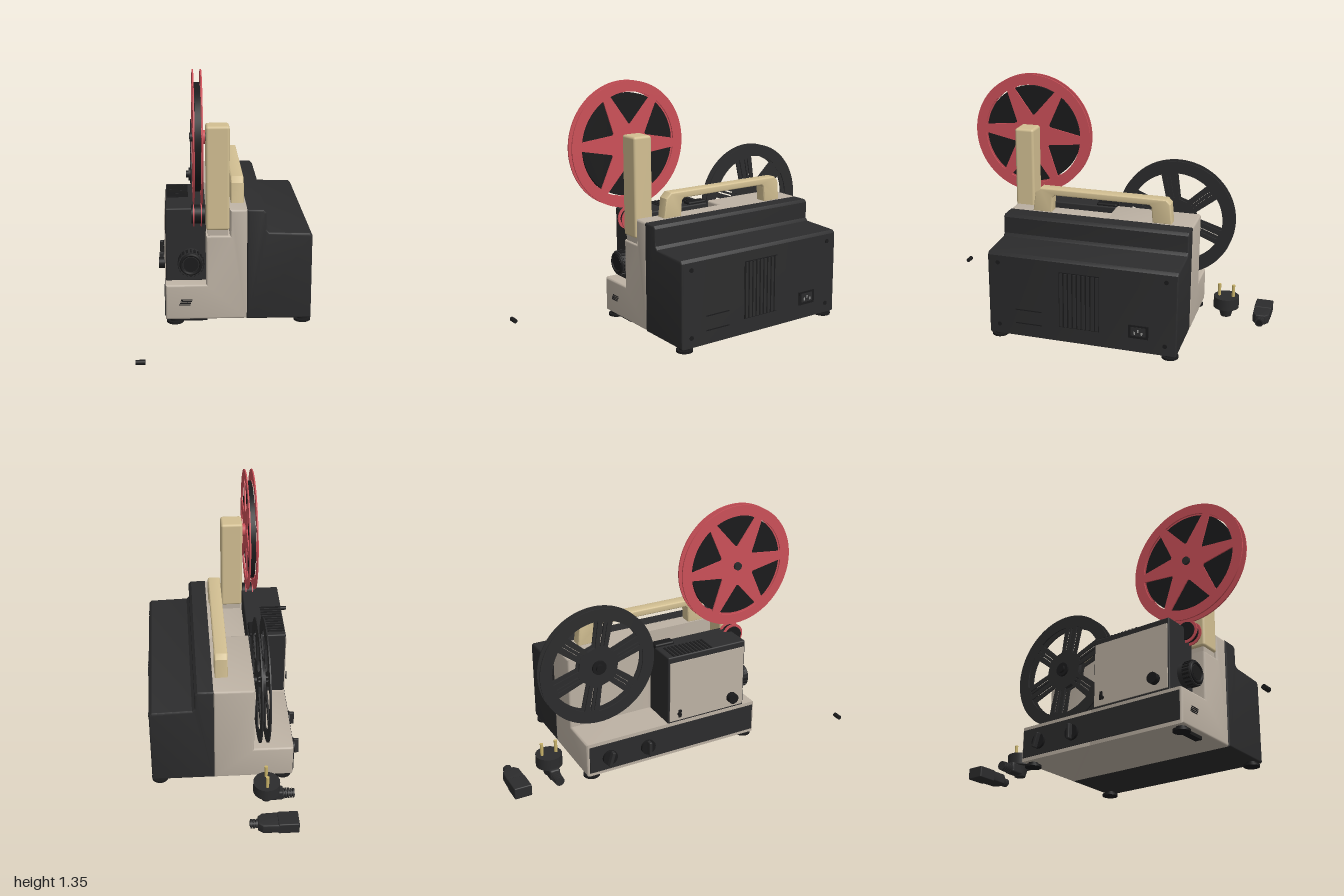
import * as THREE from 'three';
import { toCreasedNormals } from 'three/addons/utils/BufferGeometryUtils.js';
import { RoundedBoxGeometry } from 'three/addons/geometries/RoundedBoxGeometry.js';

const mat = (name, color) => {
  const m = new THREE.MeshStandardMaterial({ color });
  m.name = name;
  return m;
};

export function createModel() {
  const root = new THREE.Group();
  root.name = 'filmProjector';
  const beige = mat('beigeBody', 0xbdb2a4), dark = mat('charcoal', 0x2c2c2d), black = mat('black', 0x1b1b1c);
  const tan = mat('tan', 0xd2bf92), red = mat('red', 0xcb5058), metal = mat('metal', 0x9a9a98), brass = mat('brass', 0xc9b36a);

  const add = (name, geo, material, x = 0, y = 0, z = 0, parent = root) => {
    const m = new THREE.Mesh(geo, material);
    m.name = name;
    m.position.set(x, y, z);
    parent.add(m);
    return m;
  };
  // Box from its extents, with optional rounding
  const box = (name, material, x0, x1, y0, y1, z0, z1, r = 0) => {
    const s = [x1 - x0, y1 - y0, z1 - z0];
    const geo = r ? new RoundedBoxGeometry(...s, 3, r) : new THREE.BoxGeometry(...s);
    return add(name, geo, material, (x0 + x1) / 2, (y0 + y1) / 2, (z0 + z1) / 2);
  };
  // Cylinder along a chosen axis
  const cyl = (name, material, axis, r, len, x, y, z, r2 = r, seg = 32) => {
    const g = new THREE.CylinderGeometry(r, r2, len, seg);
    if (axis === 'x') g.rotateZ(-Math.PI / 2);
    if (axis === 'z') g.rotateX(Math.PI / 2);
    return add(name, g, material, x, y, z);
  };
  const poly = (pts) => new THREE.Shape(pts.map((p) => new THREE.Vector2(...p)));
  // Extrusion along z between two planes, with softened edges
  const extrude = (shape, z0, z1, b = 0) => {
    const g = new THREE.ExtrudeGeometry(shape, {
      depth: z1 - z0 - 2 * b, bevelEnabled: b > 0, bevelSize: b, bevelOffset: -b, bevelThickness: b, bevelSegments: 3, curveSegments: 48,
    });
    g.translate(0, 0, z0 + b);
    return toCreasedNormals(g, 0.6);
  };
  // Extrusion along x: the shape's horizontal axis runs towards -z
  const extrudeX = (shape, x0, x1, b = 0) => extrude(shape, x0, x1, b).rotateY(Math.PI / 2);

  // Main body: rear section full height, front section with the recess for the arm
  add('bodyRear', extrude(poly([[-0.32, 0.025], [0.112, 0.025], [0.112, 0.63], [-0.105, 0.63], [-0.105, 0.22], [-0.32, 0.22]]), -0.59, -0.1, 0.012), beige);
  add('bodyFront', extrude(poly([[-0.32, 0.025], [0.112, 0.025], [0.112, 0.63], [0.02, 0.63], [0.02, 0.49], [-0.105, 0.49], [-0.105, 0.22], [-0.32, 0.22]]), -0.125, 0.46, 0.012), beige);

  // Stepped side cover
  add('sideCover', extrude(poly([[0.11, 0.025], [0.452, 0.025], [0.452, 0.485], [0.437, 0.5], [0.225, 0.507], [0.21, 0.522], [0.21, 0.615], [0.195, 0.63], [0.11, 0.63]]), -0.588, 0.464, 0.01), dark);
  box('ventPanel', black, 0.45, 0.454, 0.11, 0.43, -0.165, 0.06);
  for (let i = 0; i < 9; i++) {
    const z = -0.153 + i * 0.025;
    box('ventSlat', dark, 0.452, 0.459, 0.115, 0.425, z - 0.008, z + 0.008);
  }
  for (const z of [0.405, -0.525]) for (const y of [0.08, 0.445]) cyl('coverScrew', black, 'x', 0.012, 0.006, 0.453, y, z);
  for (const y of [0.1, 0.18]) box('coverGroove', black, 0.45, 0.454, y - 0.003, y + 0.003, 0.16, 0.31);

  // Mains socket
  box('socketFrame', black, 0.45, 0.457, 0.105, 0.18, -0.435, -0.325);
  box('socketInset', dark, 0.452, 0.459, 0.12, 0.17, -0.42, -0.34);
  for (const [z, y] of [[-0.4, 0.137], [-0.38, 0.15], [-0.36, 0.137]]) box('socketPin', metal, 0.455, 0.462, y - 0.008, y + 0.008, z - 0.004, z + 0.004);

  // Feet
  for (const x of [0.41, -0.27]) for (const z of [0.42, -0.545]) {
    cyl('foot', black, 'y', 0.045, 0.012, x, 0.006, z);
    cyl('footStem', black, 'y', 0.028, 0.02, x, 0.018, z);
  }
  box('footLever', black, -0.27, -0.1, 0.006, 0.024, 0.39, 0.43);

  // Lamp housing with beige side panel and slatted top
  box('lampHousing', dark, -0.318, -0.104, 0.215, 0.62, -0.1, 0.385, 0.008);
  box('lampSidePanel', beige, -0.323, -0.317, 0.23, 0.585, -0.09, 0.375);
  for (let i = 0; i < 11; i++) {
    const z = -0.06 + i * 0.023;
    box('topVent', black, -0.312, -0.195, 0.617, 0.623, z - 0.006, z + 0.006);
  }
  box('filmGate', black, -0.17, -0.112, 0.6, 0.635, -0.1, 0.02, 0.01);

  // Lens
  cyl('lensBarrel', dark, 'z', 0.065, 0.08, -0.185, 0.335, 0.42);
  for (let i = 0; i < 20; i++) {
    const a = (i / 20) * Math.PI * 2;
    const rib = add('lensRib', new THREE.BoxGeometry(0.008, 0.01, 0.04), black, -0.185 + 0.066 * Math.cos(a), 0.335 + 0.066 * Math.sin(a), 0.435);
    rib.rotation.z = a;
  }
  add('lensRim', new THREE.TorusGeometry(0.052, 0.008, 10, 40), black, -0.185, 0.335, 0.46);
  cyl('lensGlass', black, 'z', 0.04, 0.006, -0.185, 0.335, 0.461);

  // Front slots
  for (let i = 0; i < 4; i++) box('frontSlot', black, -0.25 + i * 0.004, -0.19 + i * 0.004, 0.107 + i * 0.009, 0.112 + i * 0.009, 0.458, 0.463);

  // Control strip and knobs
  box('controlStrip', dark, -0.325, -0.318, 0.045, 0.2, -0.575, 0.445);
  for (const [z, tilt] of [[-0.46, 0.3], [-0.23, 0]]) {
    cyl('knobBase', black, 'x', 0.042, 0.016, -0.332, 0.118, z);
    const grip = add('knobGrip', new RoundedBoxGeometry(0.032, 0.084, 0.018, 2, 0.005), dark, -0.35, 0.118, z);
    grip.rotation.x = tilt;
  }
  cyl('lampKnob', black, 'x', 0.03, 0.035, -0.338, 0.29, 0.3);
  cyl('lampLever', black, 'x', 0.01, 0.02, -0.33, 0.27, -0.035);
  box('lampLeverTab', black, -0.34, -0.334, 0.255, 0.3, -0.043, -0.027);

  // Carrying handle
  const handle = poly([[-0.33, 0.625], [-0.315, 0.735], [-0.285, 0.765], [0.435, 0.765], [0.458, 0.74], [0.468, 0.625],
    [0.36, 0.625], [0.352, 0.715], [0.34, 0.727], [-0.2, 0.727], [-0.213, 0.715], [-0.22, 0.625]]);
  add('carryHandle', extrudeX(handle, 0.03, 0.1, 0.008), tan);

  // Upright reel arm and its pivot
  box('reelArm', tan, -0.105, 0.018, 0.52, 1.072, 0.352, 0.462, 0.014);
  box('armPivot', beige, -0.095, 0.01, 0.48, 0.53, 0.36, 0.45);

  // Hole between two radii, tapering towards the hub
  const windowHole = (mid, outerR, halfOuter, innerR, halfInner) => {
    const pts = [];
    for (let i = 0; i <= 12; i++) {
      const a = mid - halfOuter + (2 * halfOuter * i) / 12;
      pts.push(new THREE.Vector2(outerR * Math.cos(a), outerR * Math.sin(a)));
    }
    for (const a of [mid + halfInner, mid - halfInner]) pts.push(new THREE.Vector2(innerR * Math.cos(a), innerR * Math.sin(a)));
    return new THREE.Path(pts);
  };
  const disc = (r) => new THREE.Shape().absarc(0, 0, r, 0, Math.PI * 2);
  const flanges = (reel, shape, material) => {
    for (const x of [-0.172, -0.131]) add('reelFlange', extrudeX(shape, x, x + 0.007), material, 0, 0, 0, reel);
  };
  const makeReel = (name, y, z) => {
    const g = new THREE.Group();
    g.name = name;
    g.position.set(0, y, z);
    root.add(g);
    return g;
  };

  // Full red supply reel with star-shaped spokes
  const supply = makeReel('supplyReel', 1.008, 0.408);
  const star = disc(0.345);
  for (let i = 0; i < 6; i++) star.holes.push(windowHole(0.47 + (i * Math.PI) / 3, 0.287, 0.44, 0.115, 0.05));
  flanges(supply, star, red);
  add('filmRoll', extrudeX(disc(0.279), -0.163, -0.133), black, 0, 0, 0, supply);
  cyl('supplySpindle', dark, 'x', 0.022, 0.09, -0.142, 1.008, 0.408);
  cyl('supplyHub', red, 'x', 0.036, 0.018, -0.116, 1.008, 0.408);

  // Empty take-up reel with slotted spokes
  const takeUp = makeReel('takeUpReel', 0.585, -0.442);
  const wheel = disc(0.333);
  for (let i = 0; i < 6; i++) {
    const a = 0.7 + (i * Math.PI) / 3;
    wheel.holes.push(windowHole(a + Math.PI / 6, 0.265, 0.36, 0.115, 0.2));
    for (const s of [-1, 1]) {
      const slot = [[0.12, 0.006], [0.255, 0.006], [0.255, 0.014], [0.12, 0.014]].map(([u, v]) =>
        new THREE.Vector2(u * Math.cos(a) - s * v * Math.sin(a), u * Math.sin(a) + s * v * Math.cos(a)));
      wheel.holes.push(new THREE.Path(slot));
    }
  }
  flanges(takeUp, wheel, dark);
  add('takeUpCore', extrudeX(disc(0.1), -0.168, -0.128), dark, 0, 0, 0, takeUp);
  cyl('takeUpSpindle', black, 'x', 0.022, 0.1, -0.15, 0.585, -0.442);
  cyl('takeUpCap', black, 'x', 0.04, 0.012, -0.18, 0.585, -0.442);

  // Film guide roller below the supply reel
  for (const x of [-0.168, -0.128]) cyl('guideFlange', red, 'x', 0.065, 0.006, x, 0.592, 0.395);
  cyl('guideRoller', black, 'x', 0.05, 0.07, -0.145, 0.592, 0.395);

  // Mains plug with ribbed cable relief
  cyl('plugFace', dark, 'y', 0.072, 0.065, -0.16, 0.1, -0.745);
  cyl('plugBase', dark, 'y', 0.045, 0.06, -0.16, 0.042, -0.745, 0.03);
  box('plugNeck', dark, -0.25, -0.15, 0.015, 0.075, -0.775, -0.715, 0.012);
  for (let i = 0; i < 5; i++) cyl('plugRib', dark, 'x', 0.029 - i * 0.001, 0.009, -0.25 - i * 0.014, 0.04, -0.745);
  cyl('plugCable', black, 'x', 0.018, 0.08, -0.27, 0.04, -0.745);
  for (const z of [-0.703, -0.783]) cyl('plugPin', brass, 'y', 0.009, 0.075, -0.16, 0.165, z);

  // Appliance connector
  box('connectorHead', dark, -0.31, -0.2, 0.005, 0.07, -0.998, -0.902, 0.006);
  add('connectorBody', extrude(poly([[-0.21, -0.998], [-0.12, -0.995], [-0.095, -0.975], [-0.095, -0.925], [-0.12, -0.905], [-0.21, -0.902]]), -0.066, -0.01, 0.006).rotateX(Math.PI / 2).scale(1, 1, 1), dark);
  for (let i = 0; i < 3; i++) cyl('connectorRib', dark, 'x', 0.024, 0.01, -0.09 + i * 0.014, 0.038, -0.95);
  cyl('connectorCable', black, 'x', 0.017, 0.06, -0.084, 0.038, -0.95);

  // Loose spacer
  cyl('looseSpacer', black, 'x', 0.0125, 0.046, -0.436, 0.038, 0.984);
  return root;
}
